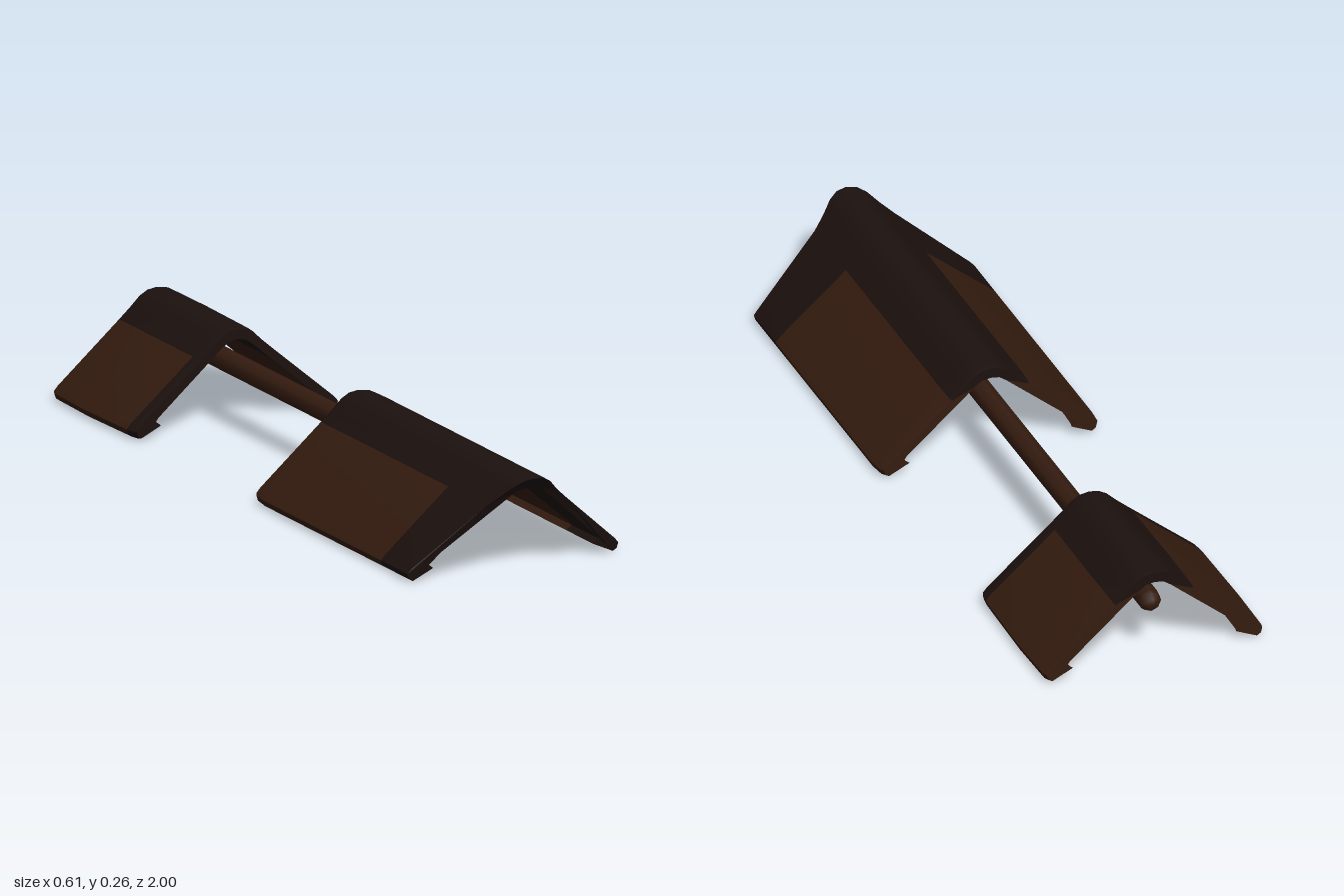
import * as THREE from 'three';
import { toCreasedNormals } from 'three/addons/utils/BufferGeometryUtils.js';

const dark = new THREE.MeshStandardMaterial({ color: 0x1c110e });
const brown = new THREE.MeshStandardMaterial({ color: 0x351c10 });

const SEAM = 0.11;  // where the side panels meet the ridge
const MID_Y = 0.13; // centre the ends shrink towards

// Half of the bent sheet: outer skin down, hooked lip, inner skin up
const half = [
  [0, 0.262], [0.027, 0.258], [0.05, 0.245], [0.078, 0.218], [SEAM, 0.19],
  [0.292, 0.035], [0.303, 0.022], [0.299, 0.008], [0.288, 0.001],
  [0.23, 0.028], [0.245, 0.04], [0.238, 0.05],
  [SEAM, 0.16], [0.075, 0.19], [0.045, 0.216], [0.025, 0.23], [0, 0.234],
];
const mirrored = half.slice(1, -1).reverse().map(([x, y]) => [-x, y]);
const section = [...half, ...mirrored].reverse(); // counter-clockwise from the front

// Sweeps the section through stations { z(y), s (scale), panel (brown up to the next station) }
function shell(name, stations) {
  const n = section.length;
  const rings = stations.map(({ z, s }) => section.map(([x, y]) =>
    new THREE.Vector3(x * s, MID_Y + (y - MID_Y) * s, typeof z === 'function' ? z(y) : z)));
  const positions = [];
  const isPanel = [];
  const tri = (a, b, c, panel) => {
    for (const p of [a, b, c]) positions.push(p.x, p.y, p.z);
    isPanel.push(panel);
  };
  for (let k = 0; k < rings.length - 1; k++) {
    const [r, q] = [rings[k], rings[k + 1]];
    for (let i = 0; i < n; i++) {
      const j = (i + 1) % n;
      const panel = stations[k].panel && Math.abs(section[i][0] + section[j][0]) / 2 > SEAM;
      tri(r[i], r[j], q[j], panel);
      tri(r[i], q[j], q[i], panel);
    }
  }
  // End faces
  const flat = section.map(([x, y]) => new THREE.Vector2(x, y));
  const first = rings[0], last = rings[rings.length - 1];
  for (const [a, b, c] of THREE.ShapeUtils.triangulateShape(flat, [])) {
    const side = Math.abs(flat[a].x + flat[b].x + flat[c].x) / 3 > SEAM;
    tri(first[c], first[b], first[a], stations[0].panel && side);
    tri(last[a], last[b], last[c], false);
  }
  let geo = new THREE.BufferGeometry();
  geo.setAttribute('position', new THREE.Float32BufferAttribute(positions, 3));
  geo = toCreasedNormals(geo, 0.7);

  // Split into the ridge and the side panels, keeping shared normals
  const group = new THREE.Group();
  group.name = name;
  for (const [part, material, wanted] of [['ridge', dark, false], ['sidePanels', brown, true]]) {
    const g = new THREE.BufferGeometry();
    for (const key of ['position', 'normal']) {
      const src = geo.attributes[key].array;
      const out = [];
      isPanel.forEach((p, t) => { if (!!p === wanted) out.push(...src.slice(t * 9, t * 9 + 9)); });
      g.setAttribute(key, new THREE.Float32BufferAttribute(out, 3));
    }
    const mesh = new THREE.Mesh(g, material);
    mesh.name = part;
    group.add(mesh);
  }
  return group;
}

export function createModel() {
  const model = new THREE.Group();
  model.name = 'saddleFrame';

  // Long shell with a swept, pointed front edge
  model.add(shell('frontShell', [
    { z: 0.063, s: 0.965, panel: true },
    { z: 0.075, s: 0.985, panel: true },
    { z: 0.12, s: 1, panel: true },
    { z: 0.74, s: 1 },
    { z: (y) => 0.88 + 0.12 * (y / 0.262) ** 2, s: 1 },
  ]));

  // Short rear shell
  model.add(shell('rearShell', [
    { z: -1, s: 0.975, panel: true },
    { z: -0.985, s: 0.99, panel: true },
    { z: -0.83, s: 1, panel: true },
    { z: -0.61, s: 0.985 },
    { z: -0.585, s: 0.975 },
    { z: -0.573, s: 0.955 },
  ]));

  // Eight-sided connecting rod with rounded ends
  const rodGeo = new THREE.CapsuleGeometry(0.03, 1.42, 3, 8);
  rodGeo.rotateX(Math.PI / 2);
  const rod = new THREE.Mesh(rodGeo, brown);
  rod.name = 'connectingRod';
  rod.position.set(0, 0.16, -0.255);
  model.add(rod);

  return model;
}
